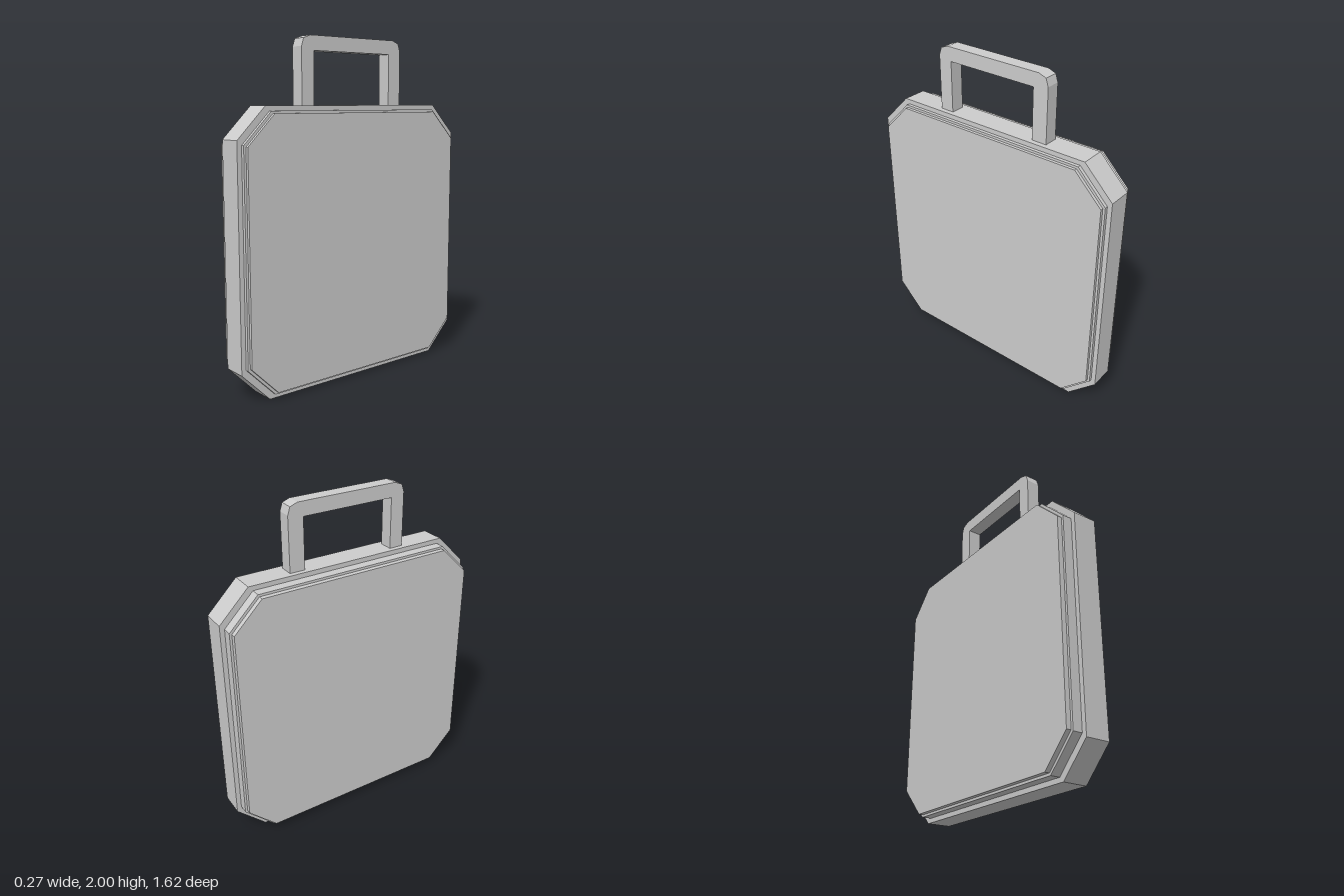
import * as THREE from 'three';

const material = new THREE.MeshStandardMaterial({ color: 0xcccccc, flatShading: true });

// Extrude a side profile given as [-z, y] points across the width x0..x1
function slab(name, points, x0, x1) {
  const shape = new THREE.Shape(points.map(([u, v]) => new THREE.Vector2(u, v)));
  const geometry = new THREE.ExtrudeGeometry(shape, { depth: x1 - x0, bevelEnabled: false });
  geometry.rotateY(Math.PI / 2).translate(x0, 0, 0);
  const mesh = new THREE.Mesh(geometry, material);
  mesh.name = name;
  return mesh;
}

// Square with cut corners, centred on the case
function octagon(half, cut) {
  const cy = 0.8085, k = half - cut;
  return [[k, -half], [half, -k], [half, k], [k, half], [-k, half], [-half, k], [-half, -k], [-k, -half]]
    .map(([u, v]) => [u, cy + v]);
}

export function createModel() {
  const group = new THREE.Group();
  group.name = 'case';

  // Stepped body: wide central band, then two smaller layers showing on each side
  group.add(slab('centralBand', octagon(0.8085, 0.178), -0.05, 0.096));
  group.add(slab('innerStep', octagon(0.781, 0.176), -0.107, 0.116));
  group.add(slab('sidePanels', octagon(0.767, 0.17), -0.136, 0.134));

  // Carrying handle with two-facet outer corners and a square opening
  group.add(slab('handle', [
    [-0.37, 1.61], [-0.286, 1.61], [-0.286, 1.917], [0.276, 1.917], [0.276, 1.61], [0.368, 1.61],
    [0.368, 1.938], [0.353, 1.983], [0.308, 2], [-0.308, 2], [-0.355, 1.983], [-0.37, 1.938],
  ], -0.019, 0.065));

  return group;
}
